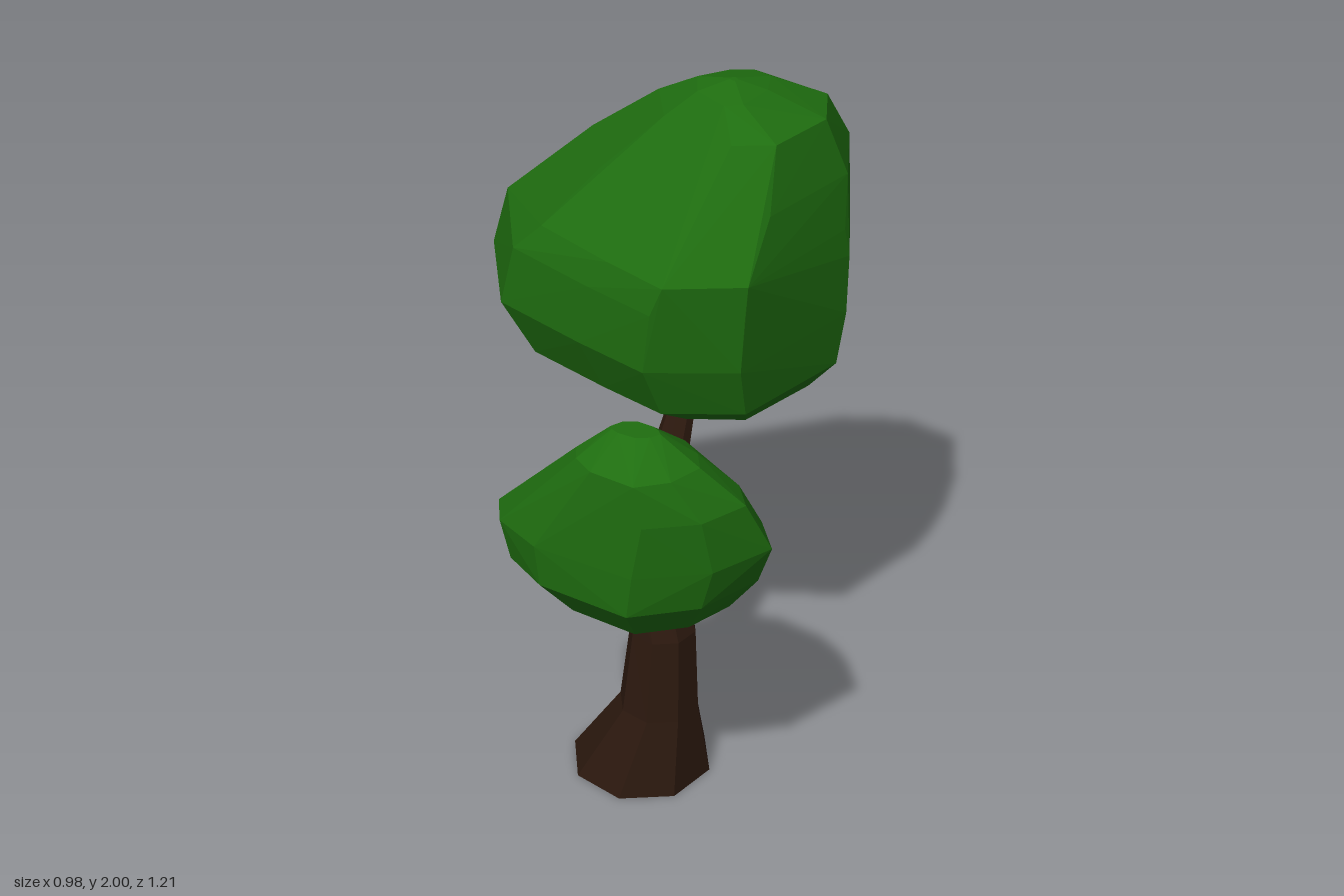
import * as THREE from 'three';
import { ConvexGeometry } from 'three/addons/geometries/ConvexGeometry.js';

// Every ring is [y, xMin, xMax, zMin, zMax]; an outline in 0..1 is fitted into it.
const fit = (outline, [y, x0, x1, z0, z1]) =>
  outline.map(([u, v]) => new THREE.Vector3(x0 + u * (x1 - x0), y, z0 + v * (z1 - z0)));

const SIDES = 8;
const octagon = Array.from({ length: SIDES }, (_, i) => {
  const a = (i / SIDES) * Math.PI * 2;
  return [0.5 + 0.5 * Math.cos(a), 0.5 + 0.5 * Math.sin(a)];
});

// Faceted limb lofted through octagonal rings, closed at both ends
function limb(name, rings, material) {
  const loops = rings.map((r) => fit(octagon, r));
  const points = [];
  for (let i = 0; i < loops.length - 1; i++) {
    for (let j = 0; j < SIDES; j++) {
      const k = (j + 1) % SIDES;
      const a = loops[i][j], b = loops[i][k], c = loops[i + 1][k], d = loops[i + 1][j];
      points.push(a, d, c, a, c, b);
    }
  }
  const top = loops[loops.length - 1], base = loops[0];
  for (let j = 1; j < SIDES - 1; j++) {
    points.push(base[0], base[j], base[j + 1], top[0], top[j + 1], top[j]);
  }
  const geometry = new THREE.BufferGeometry().setFromPoints(points);
  geometry.computeVertexNormals();
  const mesh = new THREE.Mesh(geometry, material);
  mesh.name = name;
  return mesh;
}

// Faceted leaf mass: convex skin over stacked rings
function crown(name, outline, rings, material) {
  const mesh = new THREE.Mesh(new ConvexGeometry(rings.flatMap((r) => fit(outline, r))), material);
  mesh.name = name;
  return mesh;
}

export function createModel() {
  const bark = new THREE.MeshStandardMaterial({ color: 0x2b180e, flatShading: true });
  const leaves = new THREE.MeshStandardMaterial({ color: 0x1f6e10, flatShading: true });
  const tree = new THREE.Group();
  tree.name = 'tree';

  // Trunk flares at the foot and leans back towards the top
  tree.add(limb('trunk', [
    [0, -0.18, 0.21, -0.22, 0.17],
    [0.22, -0.04, 0.18, -0.115, 0.1],
    [0.46, -0.015, 0.165, -0.115, 0.07],
    [0.61, -0.05, 0.115, -0.125, 0.025],
    [0.76, -0.03, 0.1, -0.15, -0.02],
    [0.92, 0.0, 0.1, -0.19, -0.1],
    [1.06, 0.03, 0.1, -0.245, -0.18],
    [1.15, 0.04, 0.1, -0.27, -0.21],
  ], bark));

  // Side branch reaching forward into the lower crown
  tree.add(limb('branch', [
    [0.58, -0.02, 0.06, -0.08, 0.0],
    [0.64, -0.02, 0.055, -0.05, 0.035],
    [0.73, -0.015, 0.055, 0.03, 0.09],
    [0.81, 0.0, 0.06, 0.085, 0.145],
    [0.92, 0.03, 0.08, 0.17, 0.22],
  ], bark));

  // Upper crown, drawn out to a point on one side
  tree.add(crown('upperCrown', [
    [0, 0.36], [0.35, 0.08], [0.66, 0], [0.92, 0.1], [1, 0.46],
    [0.83, 0.91], [0.6, 1], [0.4, 0.89], [0.14, 0.73],
  ], [
    [1.05, 0.0, 0.25, -0.36, -0.22],
    [1.115, -0.24, 0.38, -0.49, -0.02],
    [1.22, -0.4, 0.46, -0.55, 0.14],
    [1.37, -0.49, 0.48, -0.605, 0.21],
    [1.54, -0.44, 0.485, -0.59, 0.23],
    [1.62, -0.345, 0.475, -0.56, 0.235],
    [1.76, -0.2, 0.47, -0.5, 0.12],
    [1.91, -0.01, 0.42, -0.36, 0.03],
    [1.975, 0.1, 0.28, -0.26, -0.04],
    [2, 0.19, 0.21, -0.15, -0.13],
  ], leaves));

  // Lower crown, slanting forward
  tree.add(crown('lowerCrown', [
    [0, 0.53], [0.17, 0.15], [0.46, 0], [0.77, 0.13], [0.92, 0.3], [1, 0.52],
    [0.85, 0.82], [0.6, 1], [0.22, 0.88], [0.05, 0.71],
  ], [
    [0.75, -0.02, 0.21, 0.26, 0.37],
    [0.81, -0.11, 0.35, 0.11, 0.49],
    [0.93, -0.2, 0.43, 0.08, 0.59],
    [1.05, -0.22, 0.47, 0.13, 0.6],
    [1.2, -0.08, 0.42, 0.25, 0.605],
    [1.31, 0.02, 0.32, 0.34, 0.605],
    [1.375, 0.1, 0.22, 0.43, 0.5],
  ], leaves));

  return tree;
}
